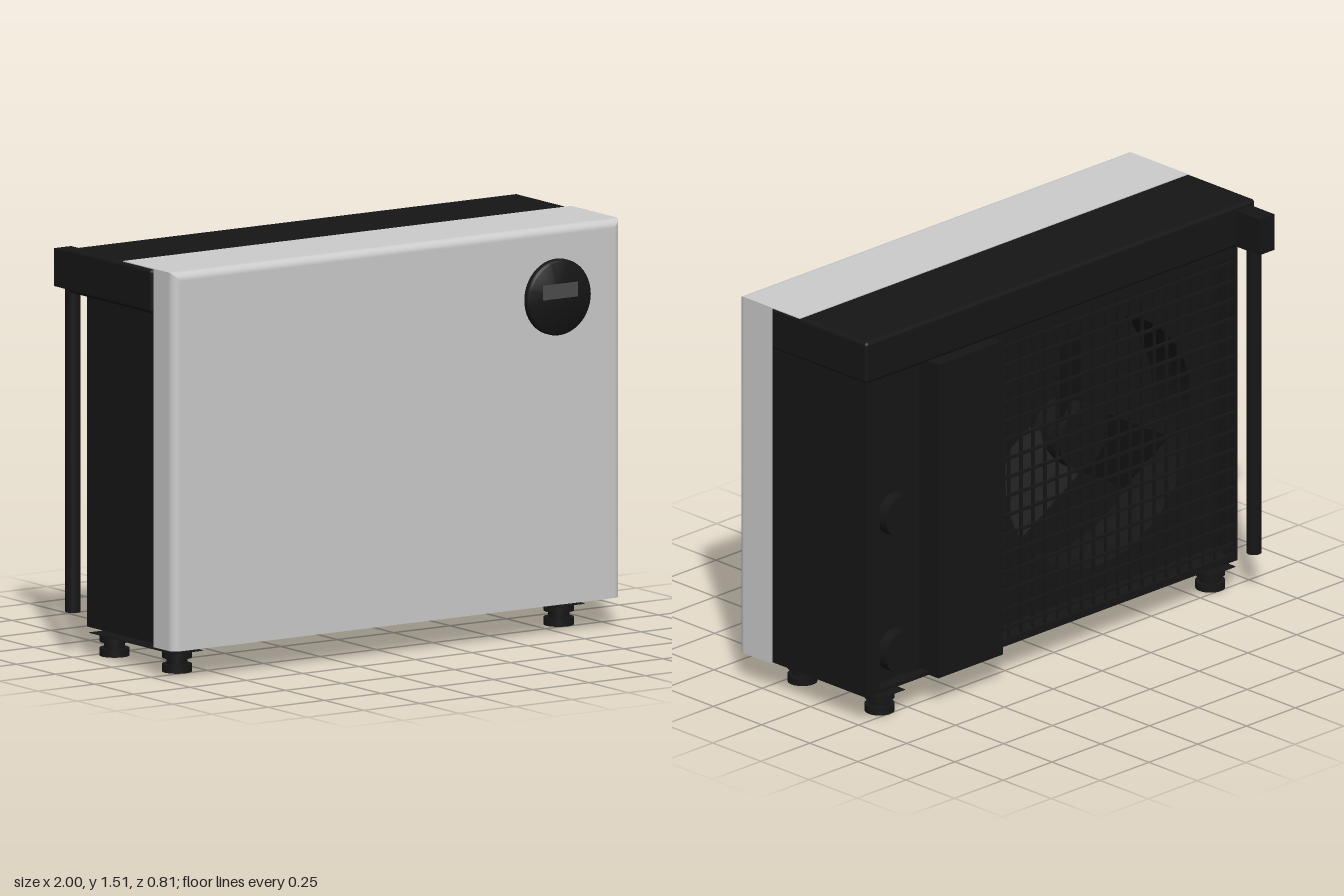
import * as THREE from 'three';
import { RoundedBoxGeometry } from 'three/addons/geometries/RoundedBoxGeometry.js';
import { toCreasedNormals } from 'three/addons/utils/BufferGeometryUtils.js';

export function createModel() {
  const root = new THREE.Group();
  const grey = new THREE.MeshStandardMaterial({ color: 0xcccccc, side: THREE.DoubleSide });
  const black = new THREE.MeshStandardMaterial({ color: 0x161616, side: THREE.DoubleSide });
  const screenMat = new THREE.MeshStandardMaterial({ color: 0x4c4c4c });

  const add = (name, geometry, material = black, parent = root) => {
    const mesh = new THREE.Mesh(geometry, material);
    mesh.name = name;
    parent.add(mesh);
    return mesh;
  };
  const group = (name) => {
    const g = new THREE.Group();
    g.name = name;
    root.add(g);
    return g;
  };
  const points = (list) => list.map((q) => new THREE.Vector2(...q));
  // Box given by its limits on each axis, with optional rounded edges
  const block = (x0, x1, y0, y1, z0, z1, r = 0) => {
    const s = [x1 - x0, y1 - y0, z1 - z0];
    const g = r ? new RoundedBoxGeometry(...s, 4, r) : new THREE.BoxGeometry(...s);
    return g.translate((x0 + x1) / 2, (y0 + y1) / 2, (z0 + z1) / 2);
  };

  // Front cover: soft mitred edges at the front, cut square at the back and bottom
  const outline = new THREE.Shape(points([[-0.988, 0], [1, 0], [1, 1.512], [-0.988, 1.512]]));
  const cover = new THREE.ExtrudeGeometry(outline, {
    depth: 0.01, bevelThickness: 0.03, bevelSize: 0.03, bevelOffset: -0.03, bevelSegments: 10,
  }).translate(0, 0, 0.335);
  const p = cover.attributes.position;
  for (let i = 0; i < p.count; i++) {
    p.setY(i, Math.max(p.getY(i), 0.11));
    p.setZ(i, Math.max(p.getZ(i), 0.335));
  }
  cover.computeVertexNormals();
  add('frontCover', cover, grey);
  add('coverTopFlange', block(-0.988, 1, 1.509, 1.512, 0.055, 0.34), grey);
  add('coverLeftFlange', block(0.996, 1, 0.11, 1.51, 0.2, 0.34), grey);
  add('coverRightFlange', block(-0.988, -0.984, 0.11, 1.51, 0.25, 0.34), grey);

  // Casing walls, floor and top cap; the right rear corner is stepped in beside the rod
  add('topCap', block(-1, 0.994, 1.345, 1.509, -0.285, 0.25, 0.015));
  add('leftWall', block(0.975, 0.99, 0.112, 1.35, -0.28, 0.335));
  add('rightWall', block(-0.95, -0.935, 0.112, 1.35, -0.23, 0.335));
  add('rightCornerStep', block(-0.95, -0.895, 0.112, 1.35, -0.23, -0.22));
  add('rightCornerEdge', block(-0.91, -0.895, 0.112, 1.35, -0.28, -0.22));
  add('floor', block(-0.95, 0.99, 0.112, 0.125, -0.23, 0.335));
  add('floorRear', block(-0.91, 0.99, 0.112, 0.125, -0.28, -0.23));
  add('innerWall', block(-0.94, 0.98, 0.12, 1.35, 0.15, 0.19));

  // Rear panels around the connection recess
  add('rearEdgeLeft', block(0.92, 0.99, 0.112, 1.35, -0.28, -0.22));
  add('recessPlate', block(0.66, 0.93, 0.112, 1.35, -0.23, -0.21));
  add('servicePanel', block(0.34, 0.67, 0.112, 1.345, -0.33, -0.2));
  add('grilleBottomLip', block(-0.91, 0.35, 0.112, 0.14, -0.28, -0.26));
  add('grilleTopLip', block(-0.91, 0.35, 1.32, 1.35, -0.28, -0.26));

  // Two pipe connections
  for (const y of [0.24, 0.775]) {
    const port = add('pipePort', new THREE.CylinderGeometry(0.08, 0.08, 0.06, 32));
    port.rotation.x = Math.PI / 2;
    port.position.set(0.805, y, -0.247);
  }

  // Rear wire grille
  const grille = group('rearGrille');
  const columns = 20, rows = 16;
  for (let i = 0; i < columns; i++) {
    const x = -0.87 + (1.18 * i) / (columns - 1);
    add('verticalWire', block(x - 0.005, x + 0.005, 0.13, 1.33, -0.272, -0.262), black, grille);
  }
  for (let i = 0; i < rows; i++) {
    const y = 0.18 + (1.11 * i) / (rows - 1);
    add('horizontalWire', block(-0.9, 0.34, y - 0.005, y + 0.005, -0.282, -0.272), black, grille);
  }

  // Plate behind the grille with a round fan opening
  const fanX = -0.33, fanY = 0.7, fanRadius = 0.48;
  const plate = new THREE.Shape(points([[-0.94, 0.12], [0.36, 0.12], [0.36, 1.35], [-0.94, 1.35]]));
  plate.holes.push(new THREE.Path().absarc(fanX, fanY, fanRadius, 0, Math.PI * 2, true));
  add('fanPlate', new THREE.ExtrudeGeometry(plate, { depth: 0.01, bevelEnabled: false, curveSegments: 32 })
    .translate(0, 0, -0.15));

  // Fan
  const fan = group('fan');
  fan.position.set(fanX, fanY, 0);
  const shroud = new THREE.CylinderGeometry(fanRadius, fanRadius, 0.2, 48, 1, true);
  add('fanShroud', shroud.rotateX(Math.PI / 2).translate(0, 0, -0.04), black, fan);
  add('fanHub', new THREE.CylinderGeometry(0.12, 0.12, 0.14, 32).rotateX(Math.PI / 2), black, fan);
  for (let i = 0; i < 3; i++) {
    const arm = group('fanBlade');
    fan.add(arm);
    arm.rotation.z = (i * Math.PI * 2) / 3;
    const blade = add('blade', new THREE.BoxGeometry(0.26, 0.36, 0.012), black, arm);
    blade.position.y = 0.27;
    blade.rotation.y = 0.45;
  }

  // Rear corner bracket and hanging rod
  add('rodBracket', block(-0.977, -0.9, 1.35, 1.49, -0.405, -0.27));
  const rod = add('rearRod', new THREE.CylinderGeometry(0.028, 0.028, 1.22, 20));
  rod.position.set(-0.94, 0.76, -0.336);

  // Round control display
  const disc = [[0, 0], [0.141, 0], [0.141, 0.02], [0.138, 0.026], [0.132, 0.03], [0, 0.03]];
  const dial = add('displayDisc', toCreasedNormals(new THREE.LatheGeometry(points(disc), 48), 0.6));
  dial.rotation.x = Math.PI / 2;
  dial.position.set(0.71, 1.253, 0.372);
  add('displayScreen', block(0.633, 0.788, 1.25, 1.305, 0.39, 0.403), screenMat);

  // Rubber feet on thin strips
  const foot = [[0, 0], [0.055, 0], [0.055, 0.029], [0.039, 0.029], [0.039, 0.052],
    [0.055, 0.052], [0.055, 0.079], [0, 0.079]];
  const footGeometry = toCreasedNormals(new THREE.LatheGeometry(points(foot), 28), 0.5);
  for (const x of [-0.85, 0.843]) {
    add('footStrip', block(x - 0.065, x + 0.065, 0.079, 0.082, -0.265, 0.27));
    for (const z of [-0.2, 0.2]) {
      add('foot', footGeometry).position.set(x, 0, z);
      const stem = add('footStem', new THREE.CylinderGeometry(0.007, 0.007, 0.035, 10));
      stem.position.set(x, 0.096, z);
    }
  }
  return root;
}
